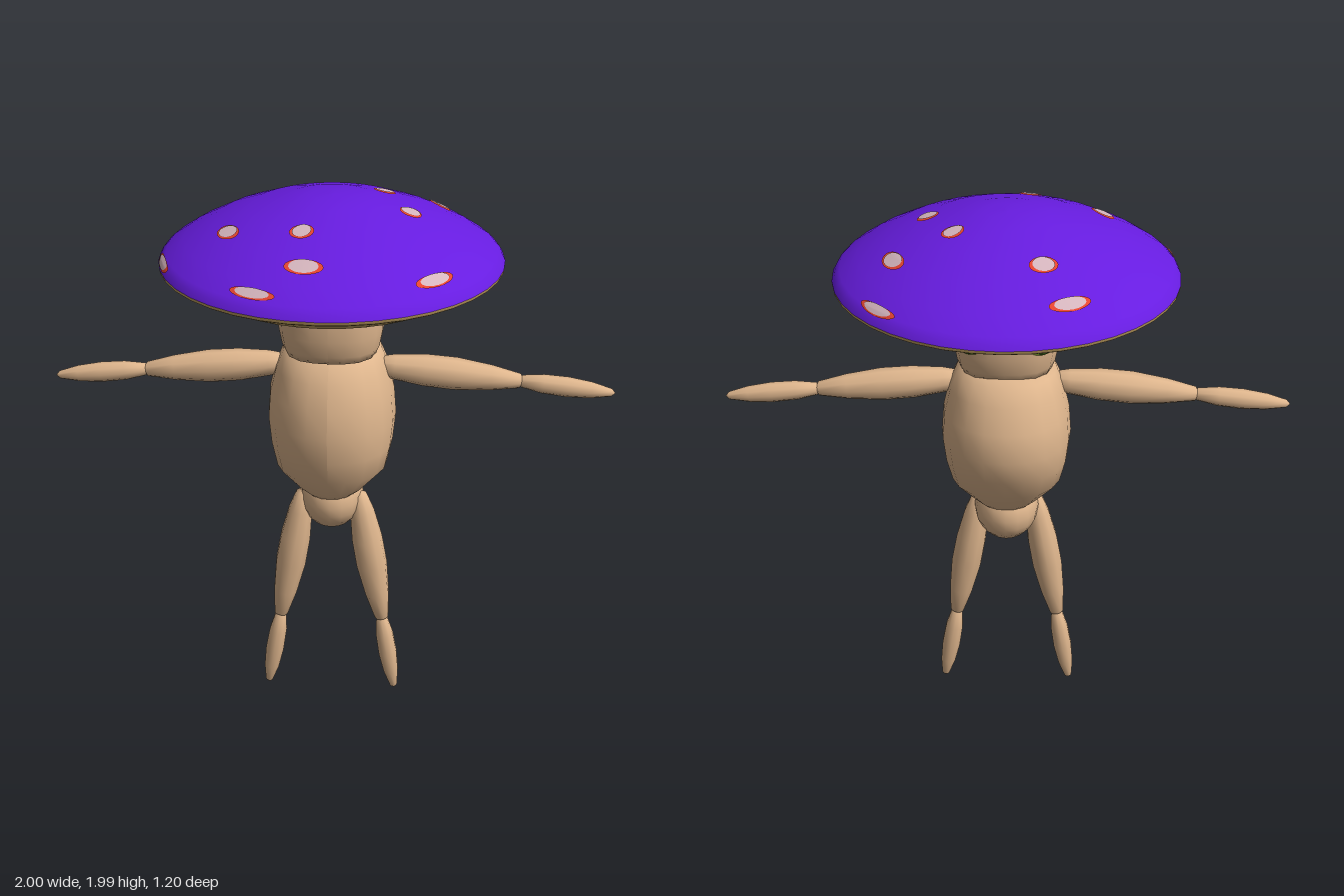
import * as THREE from 'three';

const mat = (name, color) => {
  const m = new THREE.MeshStandardMaterial({ color });
  m.name = name;
  return m;
};

export function createModel() {
  const skin = mat('skin', 0xe0b78e);
  const purple = mat('cap purple', 0x671ce0);
  const gill = mat('gill brown', 0xc6a465);
  const red = mat('spot red', 0xe8452f);
  const pale = mat('spot pale', 0xd6b6be);
  const lime = mat('eye lime', 0xb0d648);
  const green = mat('eye dark green', 0x4f8222);

  const model = new THREE.Group();
  model.name = 'mushroomCreature';
  const add = (name, geo, material, parent = model) => {
    const mesh = new THREE.Mesh(geo, material);
    mesh.name = name;
    parent.add(mesh);
    return mesh;
  };
  const v2 = (pts) => pts.map(([x, y]) => new THREE.Vector2(x, y));

  // Loft of superelliptical rings [y, halfWidth, zFront, zBack], bottom to top
  const loft = (rings, sides, power) => {
    const geo = new THREE.LatheGeometry(v2(rings.map((r) => [1, r[0]])), sides);
    const p = geo.attributes.position;
    for (let i = 0; i < p.count; i++) {
      const [, w, zf, zb] = rings[i % rings.length];
      const x = p.getX(i), z = p.getZ(i);
      const k = (Math.abs(x) ** power + Math.abs(z) ** power) ** (-1 / power);
      p.setX(i, x * k * w);
      p.setZ(i, (zf + zb) / 2 + z * k * (zf - zb) / 2);
    }
    geo.computeVertexNormals();
    return geo;
  };

  // Torso, pelvis and head
  add('torso', loft([
    [0.87, 0.001, 0.001, 0], [0.88, 0.09, 0.11, -0.11], [0.91, 0.125, 0.14, -0.14],
    [0.99, 0.2, 0.19, -0.2], [1.08, 0.22, 0.215, -0.245], [1.18, 0.23, 0.23, -0.28],
    [1.28, 0.222, 0.215, -0.262], [1.37, 0.2, 0.19, -0.23], [1.43, 0.175, 0.145, -0.195],
    [1.46, 0.13, 0.1, -0.15], [1.47, 0.001, -0.02, -0.021],
  ], 20, 2.2), skin);
  const pelvis = add('pelvis', new THREE.SphereGeometry(1, 16, 10), skin);
  pelvis.scale.set(0.118, 0.128, 0.13);
  pelvis.position.set(0, 0.848, -0.008);
  add('head', loft([
    [1.435, 0.001, 0.001, 0], [1.44, 0.16, 0.16, -0.16], [1.47, 0.172, 0.176, -0.175],
    [1.53, 0.183, 0.188, -0.188], [1.6, 0.187, 0.19, -0.192], [1.7, 0.18, 0.185, -0.185],
  ], 20, 2.7), skin);

  // Cap: purple dome over a brown convex underside with a thin upright rim
  const dome = [[0.587, 1.772], [0.577, 1.79], [0.56, 1.807], [0.5, 1.847], [0.4, 1.898],
    [0.28, 1.943], [0.15, 1.977], [0.07, 1.988], [0, 1.99]];
  const under = [[0, 1.59], [0.1, 1.597], [0.2, 1.613], [0.33, 1.648], [0.44, 1.69],
    [0.53, 1.735], [0.578, 1.757], [0.586, 1.762], [0.587, 1.772]];
  const cap = new THREE.Group();
  cap.name = 'cap';
  cap.scale.z = 1.022;
  model.add(cap);
  add('capTop', new THREE.LatheGeometry(v2(dome), 40), purple, cap);
  add('capUnderside', new THREE.LatheGeometry(v2(under), 40), gill, cap);

  // Dome height at a given radius
  const domeY = (r) => {
    for (let i = 1; i < dome.length; i++) {
      const [r0, y0] = dome[i - 1], [r1, y1] = dome[i];
      if (r >= r1) return y0 + (y1 - y0) * (r - r0) / (r1 - r0);
    }
    return 1.99;
  };

  // Thin oval patch draped on the dome, long axis along the rim
  const patch = (x, z, along, across, lift) => {
    const geo = new THREE.RingGeometry(0, 1, 20, 4);
    const p = geo.attributes.position;
    const radius = Math.hypot(x, z), th = Math.atan2(z, x);
    for (let i = 0; i < p.count; i++) {
      const a = th + p.getX(i) * along / radius;
      const r = Math.min(0.585, radius + p.getY(i) * across);
      p.setXYZ(i, r * Math.cos(a), domeY(r) + lift, r * Math.sin(a));
    }
    geo.computeVertexNormals();
    return geo;
  };

  // Spots grow longer and narrower towards the rim
  const spots = [[-0.21, -0.433], [-0.125, -0.298], [0.395, -0.392], [0.36, -0.2], [0.17, -0.123],
    [0.265, 0.048], [-0.325, 0.185], [-0.075, 0.262], [-0.055, 0.423], [0.355, 0.377],
    [-0.21, 0.497], [-0.55, 0.17]];
  for (const [x, z] of spots) {
    const r = Math.hypot(x, z);
    const along = 0.037 + Math.max(0, r - 0.25) * 0.15;
    const across = 0.041 * Math.sqrt(1 - (r / 0.6) ** 2);
    add('spotRim', patch(x, z, along, across, 0.004), red, cap);
    add('spotCentre', patch(x, z, along * 0.76, across * 0.88, 0.007), pale, cap);
  }

  // Limb segment: spindle along a line, with [fraction, radius] profile
  const up = new THREE.Vector3(0, 1, 0);
  const segment = (name, from, to, profile, parent) => {
    const a = new THREE.Vector3(...from), d = new THREE.Vector3(...to).sub(a);
    const len = d.length();
    const geo = new THREE.LatheGeometry(v2(profile.map(([t, r]) => [r, t * len])), 10);
    const mesh = add(name, geo, skin, parent);
    mesh.position.copy(a);
    mesh.quaternion.setFromUnitVectors(up, d.normalize());
  };
  const upper = [[0, 0], [0.02, 0.028], [0.15, 0.045], [0.35, 0.057], [0.55, 0.058],
    [0.78, 0.045], [0.97, 0.026], [1, 0]];
  const lower = [[0, 0], [0.03, 0.022], [0.25, 0.034], [0.5, 0.036], [0.75, 0.029],
    [0.96, 0.014], [1, 0]];

  for (const side of [1, -1]) {
    const label = side > 0 ? 'left' : 'right';
    const arm = new THREE.Group();
    arm.name = label + 'Arm';
    const leg = new THREE.Group();
    leg.name = label + 'Leg';
    model.add(arm, leg);
    segment('upperArm', [side * 0.14, 1.372, -0.008], [side * 0.68, 1.322, -0.012], upper, arm);
    segment('forearm', [side * 0.66, 1.324, -0.012], [side * 1.0, 1.288, -0.012], lower, arm);
    segment('thigh', [side * 0.1, 0.875, 0.025], [side * 0.197, 0.315, 0.03], upper, leg);
    segment('shin', [side * 0.193, 0.335, 0.03], [side * 0.248, 0.0, 0.03], lower, leg);

    // Eye with dark patches
    const eye = new THREE.Group();
    eye.name = label + 'Eye';
    eye.position.set(side * 0.108, 1.612, -0.122);
    model.add(eye);
    add('eyeball', new THREE.SphereGeometry(0.083, 20, 14), lime, eye);
    const marks = [[0.5, -0.42, -0.76, 0.27], [0.25, -0.6, -0.76, 0.18],
      [-0.4, -0.3, -0.87, 0.13], [0.95, -0.3, -0.1, 0.12]];
    for (const [x, y, z, size] of marks) {
      const m = add('eyeMark', new THREE.SphereGeometry(0.0845, 12, 4, 0, Math.PI * 2, 0, size), green, eye);
      m.quaternion.setFromUnitVectors(up, new THREE.Vector3(side * x, y, z).normalize());
    }
  }
  return model;
}
